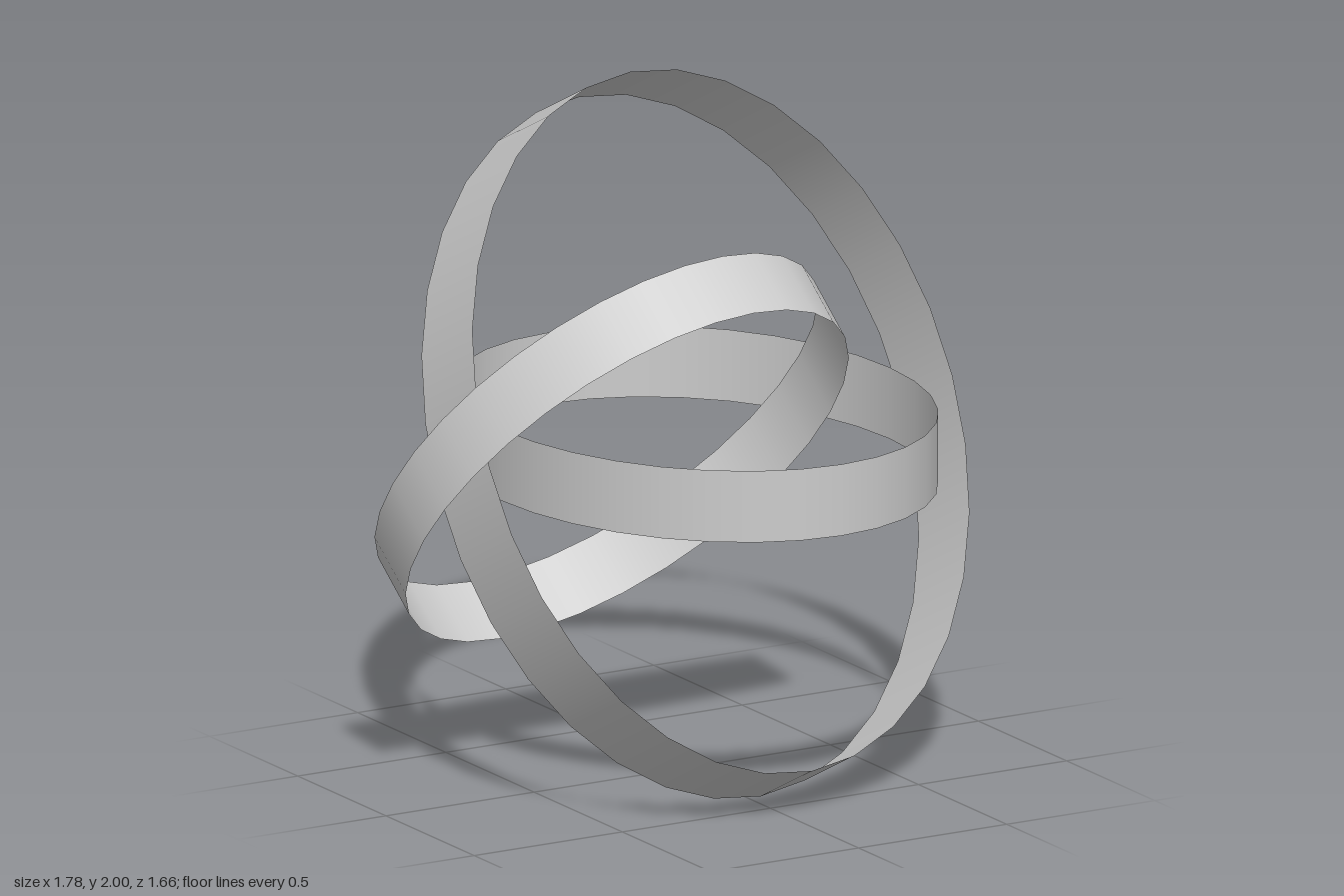
import * as THREE from 'three';

// Three thin open elliptical bands, interlocked around a common middle.
export function createModel() {
  const model = new THREE.Group();
  const grey = new THREE.MeshStandardMaterial({ color: 0xcccccc, side: THREE.DoubleSide });
  grey.name = 'light grey';

  // a and b are half-diameters spanning the band's plane; width runs along its axis
  function band(name, centreX, a, b, width) {
    const A = new THREE.Vector3(...a);
    const B = new THREE.Vector3(...b);
    const axis = A.clone().cross(B).setLength(width);
    const geometry = new THREE.CylinderGeometry(1, 1, 1, 32, 1, true);
    geometry.applyMatrix4(new THREE.Matrix4().makeBasis(B, axis, A).setPosition(centreX, 1, 0));
    const mesh = new THREE.Mesh(geometry, grey);
    mesh.name = name;
    model.add(mesh);
  }

  band('levelBand', 0.045, [0, 0, 0.83], [0.655, 0, 0], 0.215);
  band('largeTiltedBand', 0.045, [-0.01, 0.935, -0.498], [0.832, 0, -0.085], 0.28);
  band('smallTiltedBand', -0.238, [0.14, 0.585, 0.481], [0.637, 0, -0.0375], 0.21);
  return model;
}
